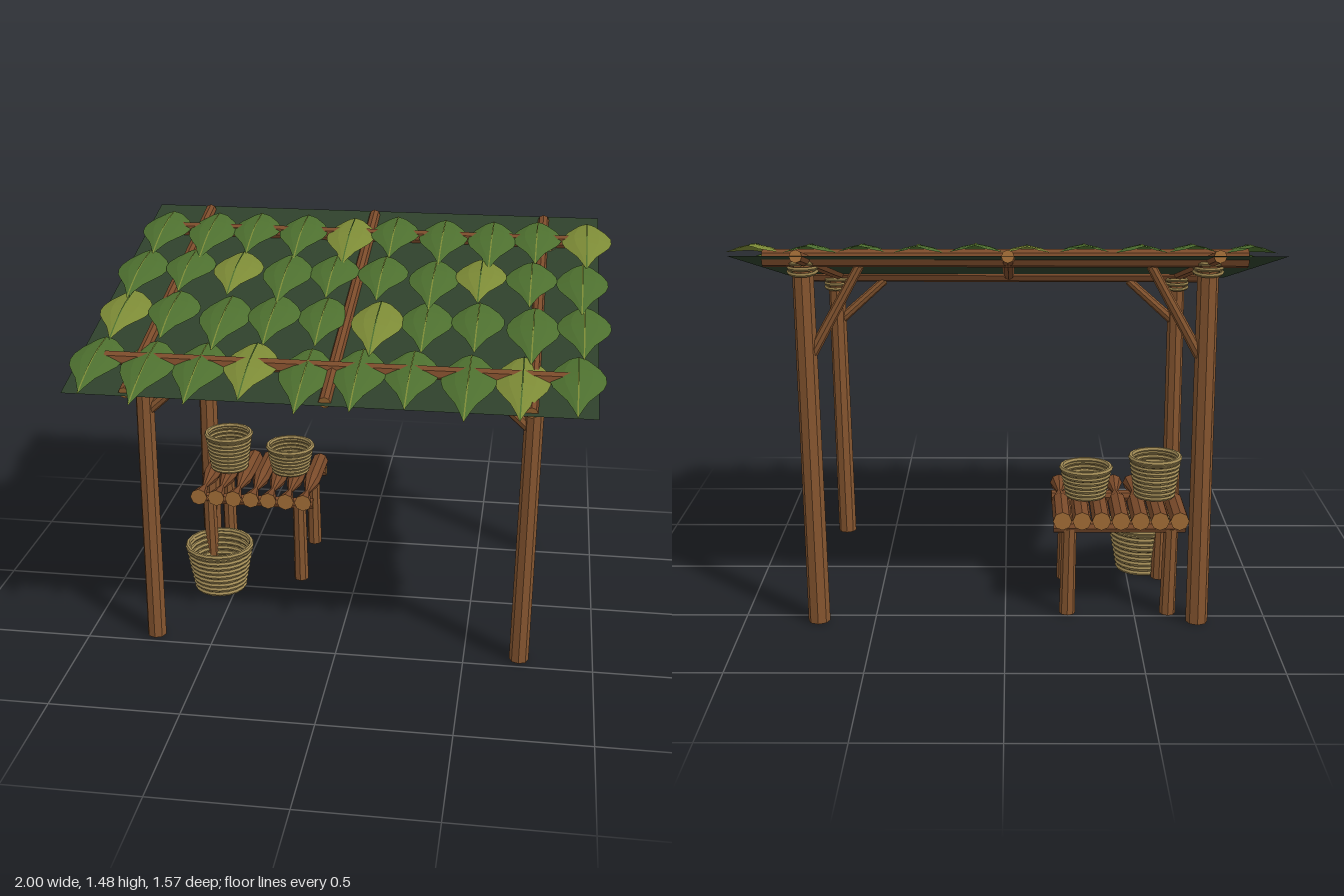
import * as THREE from 'three';

const mat = (name, color, side = THREE.FrontSide) => {
  const m = new THREE.MeshStandardMaterial({ color, side, flatShading: true });
  m.name = name;
  return m;
};

export function createModel() {
  const root = new THREE.Group();
  root.name = 'marketStall';

  const bark = mat('bark brown', 0x85552f);
  const darkBark = mat('dark bark', 0x7a4a2a);
  const cutWood = mat('cut wood', 0xa06c36);
  const rope = mat('rope', 0x8f7a48);
  const thatch = mat('dark thatch', 0x2e402b, THREE.DoubleSide);
  const leafGreen = mat('leaf green', 0x4d6f2f, THREE.DoubleSide);
  const leafLight = mat('pale leaf', 0x7c8a36, THREE.DoubleSide);
  const wicker = mat('wicker', 0xa08a55);
  const wickerDark = mat('dark wicker', 0x66532d, THREE.DoubleSide);

  const V = (x, y, z) => new THREE.Vector3(x, y, z);
  const add = (parent, name, geo, material) => {
    const m = new THREE.Mesh(geo, material);
    m.name = name;
    parent.add(m);
    return m;
  };
  const group = (name) => {
    const g = new THREE.Group();
    g.name = name;
    root.add(g);
    return g;
  };
  // Eight-sided log between two points, with cut ends
  const log = (parent, name, a, b, rA, rB = rA, side = bark) => {
    const m = add(parent, name, new THREE.CylinderGeometry(rB, rA, a.distanceTo(b), 8), [side, cutWood, cutWood]);
    m.position.copy(a).lerp(b, 0.5);
    m.quaternion.setFromUnitVectors(V(0, 1, 0), b.clone().sub(a).normalize());
    return m;
  };

  // Height of the sloping roof plane
  const roofY = (z) => 1.271 - 0.2365 * z;

  // Frame: posts, bindings, beams, braces
  const frame = group('frame');
  const rows = [
    { name: 'front', z: 0.44, beamZ: 0.45, beamY: 1.165, low: 0.97, high: 1.14, r: 0.038 },
    { name: 'back', z: -0.545, beamZ: -0.555, beamY: 1.41, low: 1.04, high: 1.38, r: 0.042 },
  ];
  for (const { name, z, beamZ, beamY, low, high, r } of rows) {
    for (const s of [-1, 1]) {
      log(frame, name + 'Post', V(s * 0.725 - 0.01, 0, z), V(s * 0.73, beamY - 0.01, z), r, r * 0.92);
      log(frame, name + 'Brace', V(s * 0.715, low, z), V(s * 0.525, high, z), 0.021, 0.018);
      for (let i = 0; i < 3; i++) {
        const ring = add(frame, 'binding', new THREE.TorusGeometry(r + 0.008, 0.008, 5, 12), rope);
        ring.rotation.x = Math.PI / 2 + (i - 1) * 0.12;
        ring.position.set(s * 0.73, beamY - 0.05 + i * 0.015, z);
      }
    }
    log(frame, name + 'Beam', V(-0.87, beamY, beamZ), V(0.87, beamY, beamZ), 0.034, 0.032, darkBark);
  }

  // Roof: rafters and backing sheet
  const roof = group('roof');
  for (const x of [-0.74, -0.01, 0.72]) {
    log(roof, 'rafter', V(x, roofY(0.66), 0.66), V(x, roofY(-0.77), -0.77), 0.023, 0.023, darkBark);
  }
  const sheet = new THREE.PlaneGeometry(1.925, 1.48).rotateX(-Math.PI / 2).translate(-0.01, 0, -0.06);
  const sp = sheet.attributes.position;
  for (let i = 0; i < sp.count; i++) sp.setY(i, roofY(sp.getZ(i)));
  sheet.computeVertexNormals();
  add(roof, 'backingSheet', sheet, thatch);

  // Leaf: a grid narrowed to an outline, folded along the rib and laid on the slope
  const outline = [0.035, 0.078, 0.099, 0.101, 0.09, 0.066, 0.038, 0.018, 0];
  const leafGeometry = (cols, x, z0, len, base, rib) => {
    const g = new THREE.PlaneGeometry(2, 1, cols, 8).rotateX(-Math.PI / 2);
    const p = g.attributes.position;
    for (let i = 0; i < p.count; i++) {
      const t = p.getZ(i) + 0.5;
      const s = p.getX(i);
      const w = outline[Math.round(t * 8)];
      const z = z0 + t * len;
      const fold = rib ? 0.002 : -0.03 * Math.abs(s) ** 1.5 * (w / 0.1);
      p.setXYZ(i, x + s * (rib ? 0.0025 : w), roofY(z) + base + 0.02 * Math.sin(t * Math.PI) + fold, z);
    }
    g.computeVertexNormals();
    return g;
  };
  const leafRows = [
    { z: -0.65, len: 0.38, base: 0.042, dx: 0.01 },
    { z: -0.32, len: 0.36, base: 0.038, dx: -0.005 },
    { z: 0.0, len: 0.37, base: 0.027, dx: 0.005 },
    { z: 0.34, len: 0.4, base: 0.019, dx: -0.014 },
  ];
  leafRows.forEach(({ z, len, base, dx }, r) => {
    for (let i = 0; i < 10; i++) {
      const wobble = Math.sin(i * 2.1 + r * 1.7);
      const pale = (i + 2 * r) % 5 === 4;
      const inner = i > 0 && i < 9 ? wobble * 0.008 : 0;
      const args = [-0.885 + 0.1975 * i + dx + inner, z + wobble * 0.01, len + wobble * 0.025, base + (i % 2) * 0.003];
      add(roof, 'leaf', leafGeometry(4, ...args, false), pale ? leafLight : leafGreen);
      add(roof, 'leafRib', leafGeometry(1, ...args, true), pale ? leafGreen : leafLight);
    }
  });

  // Table: legs, rails and slats pinched near the front
  const table = group('table');
  for (const z of [-0.11, -0.467]) {
    for (const x of [-0.63, -0.24]) log(table, 'tableLeg', V(x, 0, z), V(x - 0.005, 0.35, z), 0.031, 0.028);
    log(table, 'tableRail', V(-0.69, 0.355, z), V(-0.185, 0.355, z), 0.024, 0.024, darkBark);
  }
  for (let i = 0; i < 7; i++) {
    const g = new THREE.CylinderGeometry(0.036, 0.036, 0.46, 8, 4);
    const p = g.attributes.position;
    for (let k = 0; k < p.count; k++) {
      if (Math.abs(p.getY(k) + 0.115) < 0.01) p.setXYZ(k, p.getX(k) * 0.3, p.getY(k), p.getZ(k) * 0.3);
    }
    g.rotateX(-Math.PI / 2);
    g.computeVertexNormals();
    add(table, 'tableSlat', g, [darkBark, cutWood, cutWood]).position.set(-0.665 + i * 0.0745, 0.388, -0.27);
  }

  // Baskets: dark shell with woven bands, thick rim and inner floor
  const basket = (x, y, z, h, r0, r1, bands) => {
    const g = group('basket');
    g.position.set(x, y, z);
    const shell = [[0, 0.004], [r0 - 0.008, 0.004], [r1 - 0.01, h - 0.01]].map(([a, b]) => new THREE.Vector2(a, b));
    add(g, 'basketShell', new THREE.LatheGeometry(shell, 18), wickerDark);
    const step = (h - 0.012) / bands;
    for (let i = 0; i < bands; i++) {
      const rad = r0 + (r1 - r0) * (i / bands) - 0.009;
      const band = add(g, 'wovenBand', new THREE.TorusGeometry(rad, step * 0.47, 6, 18), wicker);
      band.rotation.x = Math.PI / 2;
      band.position.y = step * (i + 0.5);
    }
    const rim = add(g, 'basketRim', new THREE.TorusGeometry(r1 - 0.01, 0.01, 6, 18), wicker);
    rim.rotation.x = Math.PI / 2;
    rim.position.y = h - 0.01;
    const floor = add(g, 'basketFloor', new THREE.CircleGeometry(r0 - 0.012, 18), wicker);
    floor.rotation.x = -Math.PI / 2;
    floor.position.y = 0.015;
  };
  basket(-0.585, 0.422, -0.295, 0.17, 0.083, 0.106, 9);
  basket(-0.315, 0.422, -0.295, 0.127, 0.083, 0.106, 7);
  basket(-0.57, 0, 0.005, 0.208, 0.11, 0.145, 9);

  return root;
}
